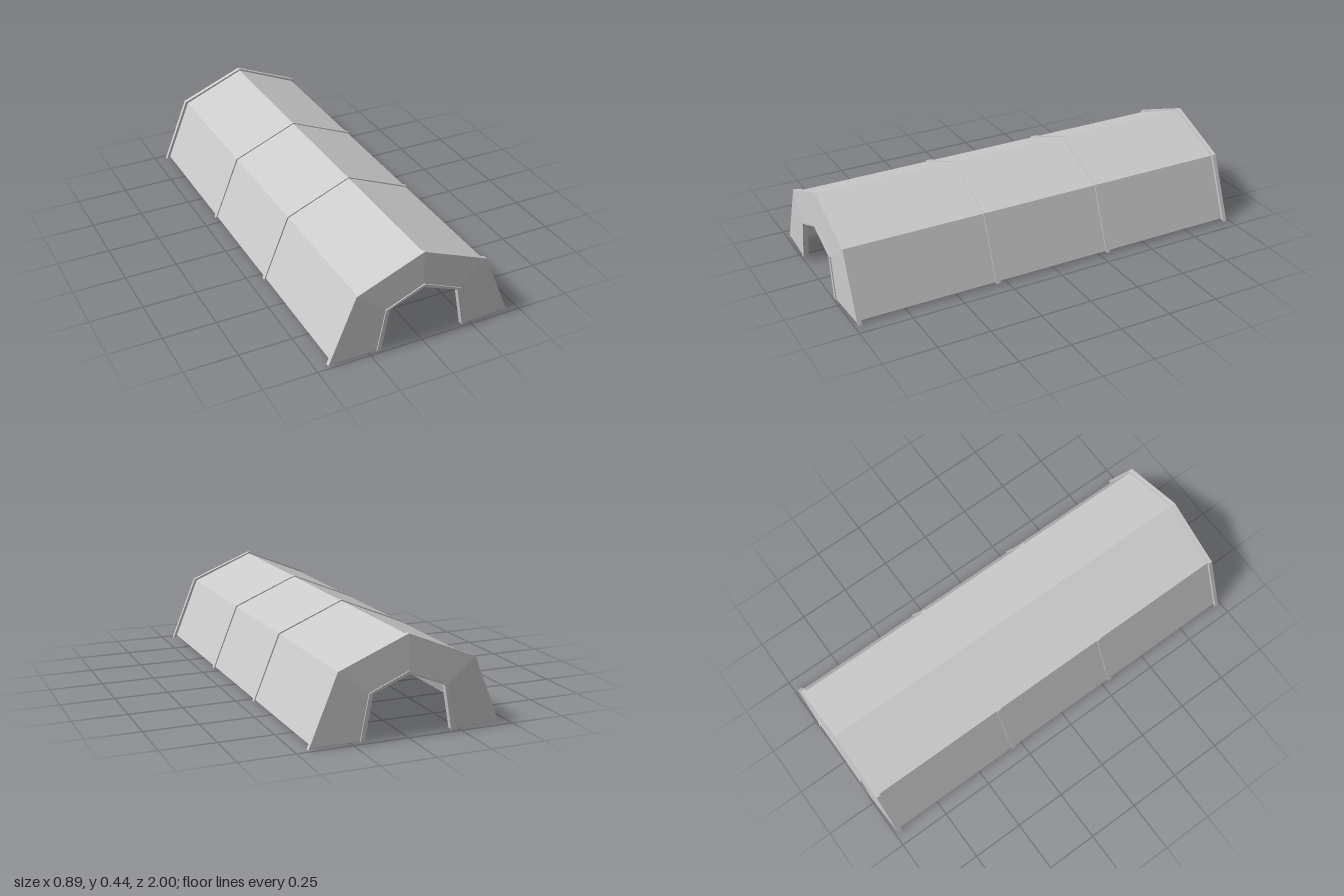
import * as THREE from 'three';

const material = new THREE.MeshStandardMaterial({ color: 0xcccccc, flatShading: true, side: THREE.DoubleSide });

// Half profiles [foot, knee, apex], mirrored to a five-point arch
const fullArch = (half) => [...half, [-half[1][0], half[1][1]], [-half[0][0], half[0][1]]];

// Solid arch between two half profiles; zOuter and zInner are [front, back] depths at each rim
function arch(name, outerHalf, innerHalf, zOuter, zInner = zOuter) {
  const outer = fullArch(outerHalf), inner = fullArch(innerHalf);
  const sections = outer.map(([ox, oy], i) => {
    const [ix, iy] = inner[i];
    return [[ox, oy, zOuter[0]], [ix, iy, zInner[0]], [ix, iy, zInner[1]], [ox, oy, zOuter[1]]];
  });
  const pos = [];
  const quad = (a, b, c, d) => pos.push(...a, ...b, ...c, ...a, ...c, ...d);
  for (let i = 0; i < sections.length - 1; i++) {
    const s = sections[i], t = sections[i + 1];
    for (let k = 0; k < 4; k++) quad(s[k], t[k], t[(k + 1) % 4], s[(k + 1) % 4]);
  }
  quad(...sections[0]);
  quad(...sections[sections.length - 1].slice().reverse());
  const geometry = new THREE.BufferGeometry();
  geometry.setAttribute('position', new THREE.Float32BufferAttribute(pos, 3));
  geometry.computeVertexNormals();
  const mesh = new THREE.Mesh(geometry, material);
  mesh.name = name;
  return mesh;
}

export function createModel() {
  const model = new THREE.Group();
  model.name = 'tunnelTent';

  const skinOuter = [[0.425, 0.012], [0.305, 0.308], [0, 0.436]];
  const skinInner = [[0.416, 0.012], [0.299, 0.301], [0, 0.427]];
  const ribOuter = [[0.443, 0], [0.315, 0.315], [0, 0.444]];
  const ribInner = [[0.42, 0.01], [0.303, 0.306], [0, 0.433]];
  const midRibOuter = [[0.433, 0.005], [0.31, 0.312], [0, 0.441]];
  const panelOuter = [[0.438, 0.011], [0.315, 0.315], [0, 0.444]];
  const doorOuter = [[0.22, 0.012], [0.182, 0.213], [0, 0.29]];
  const doorInner = [[0.2, 0.012], [0.165, 0.21], [0, 0.275]];

  // Long faceted cover
  model.add(arch('cover', skinOuter, skinInner, [0.975, -0.975]));

  // Two ribs along the cover
  for (const z of [-0.295, 0.295]) {
    model.add(arch('middleRib', midRibOuter, ribInner, [z + 0.01, z - 0.01]));
  }

  // Matching ends: rib, slightly bulging wall and doorway trim
  for (const [name, turn] of [['frontEnd', 0], ['backEnd', Math.PI]]) {
    const end = new THREE.Group();
    end.name = name;
    end.add(
      arch('endRib', ribOuter, ribInner, [0.984, 0.965]),
      arch('endWall', panelOuter, doorOuter, [0.985, 0.975], [0.995, 0.985]),
      arch('doorTrim', doorOuter, doorInner, [1, 0.975])
    );
    end.rotation.y = turn;
    model.add(end);
  }
  return model;
}
